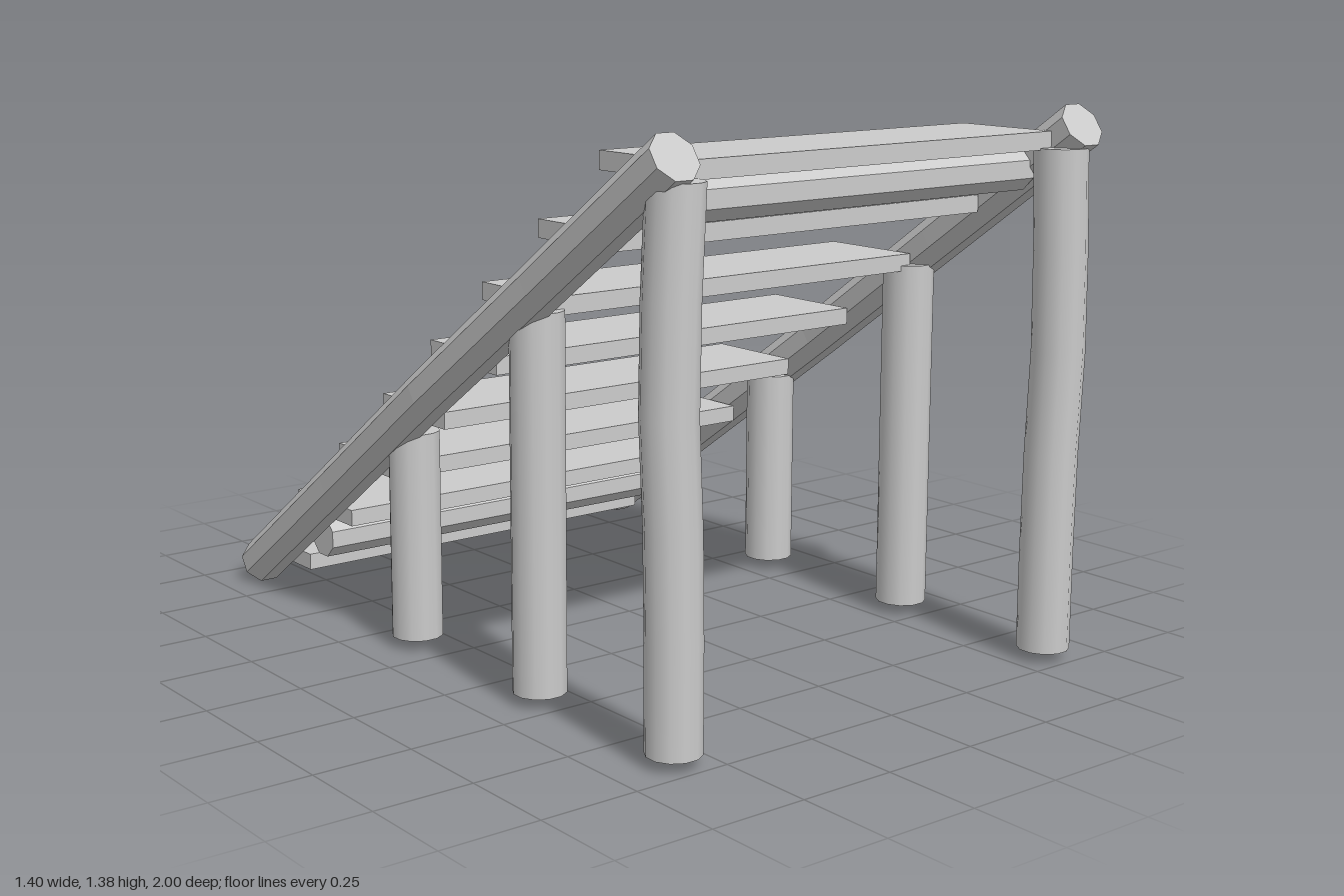
import * as THREE from 'three';

export function createModel() {
  const group = new THREE.Group();
  const wood = new THREE.MeshStandardMaterial({ color: 0xcccccc });
  const flatWood = new THREE.MeshStandardMaterial({ color: 0xcccccc, flatShading: true });

  const add = (name, geometry, material, x, y, z) => {
    const mesh = new THREE.Mesh(geometry, material);
    mesh.name = name;
    mesh.position.set(x, y, z);
    group.add(mesh);
    return mesh;
  };

  // A log along y whose rings are shifted in x, listed from bottom to top
  const log = (radius, length, sides, bends) => {
    const rings = bends.length - 1;
    const g = new THREE.CylinderGeometry(radius, radius, length, sides, rings, false, Math.PI / sides);
    const p = g.attributes.position;
    for (let i = 0; i < p.count; i++) {
      const ring = Math.round((p.getY(i) / length + 0.5) * rings);
      p.setX(i, p.getX(i) + bends[ring]);
    }
    g.computeBoundingSphere();
    return g;
  };

  // Treads
  const treadCount = 8;
  for (let i = 0; i < treadCount; i++) {
    add('tread', new THREE.BoxGeometry(1.14, 0.044, 0.29), flatWood, 0, 0.082 + 0.1751 * i, -0.855 + 0.2329 * i);
  }

  // Sloping side rails, slightly crooked, one turned end for end
  const rise = 1.29, run = 1.85;
  const bend = [0, 0.007, 0.015, 0.006, 0];
  for (const side of [-1, 1]) {
    const offsets = side < 0 ? bend : bend.map((_, i) => bend[bend.length - 1 - i]);
    const g = log(0.062, Math.hypot(rise, run), 8, offsets.map((b) => side * b));
    g.rotateX(Math.atan2(run, rise));
    add(side < 0 ? 'rightRail' : 'leftRail', g, flatWood, side * 0.626, 0.7, 0.04);
  }

  // Posts: crooked at the front, straight further back
  const foot = 0.035;
  const posts = [
    { name: 'frontPost', z: 0.93, top: 1.29, bends: [0, 0, 0.004, 0.016, 0.012, 0] },
    { name: 'middlePost', z: 0.425, top: 0.95, bends: [0, 0] },
    { name: 'backPost', z: -0.115, top: 0.57, bends: [0, 0] },
  ];
  for (const { name, z, top, bends } of posts) {
    for (const side of [-1, 1]) {
      const g = log(0.066, top - foot, 12, bends.map((b) => side * b));
      add(name, g, wood, side * 0.595, (top + foot) / 2, z);
    }
  }

  // Cross bars tying the rails together
  for (const [y, z] of [[0.182, -0.61], [1.232, 0.8]]) {
    const g = log(0.058, 1.17, 8, [0, 0]);
    g.rotateZ(Math.PI / 2);
    add('crossBar', g, flatWood, 0, y, z);
  }

  return group;
}
